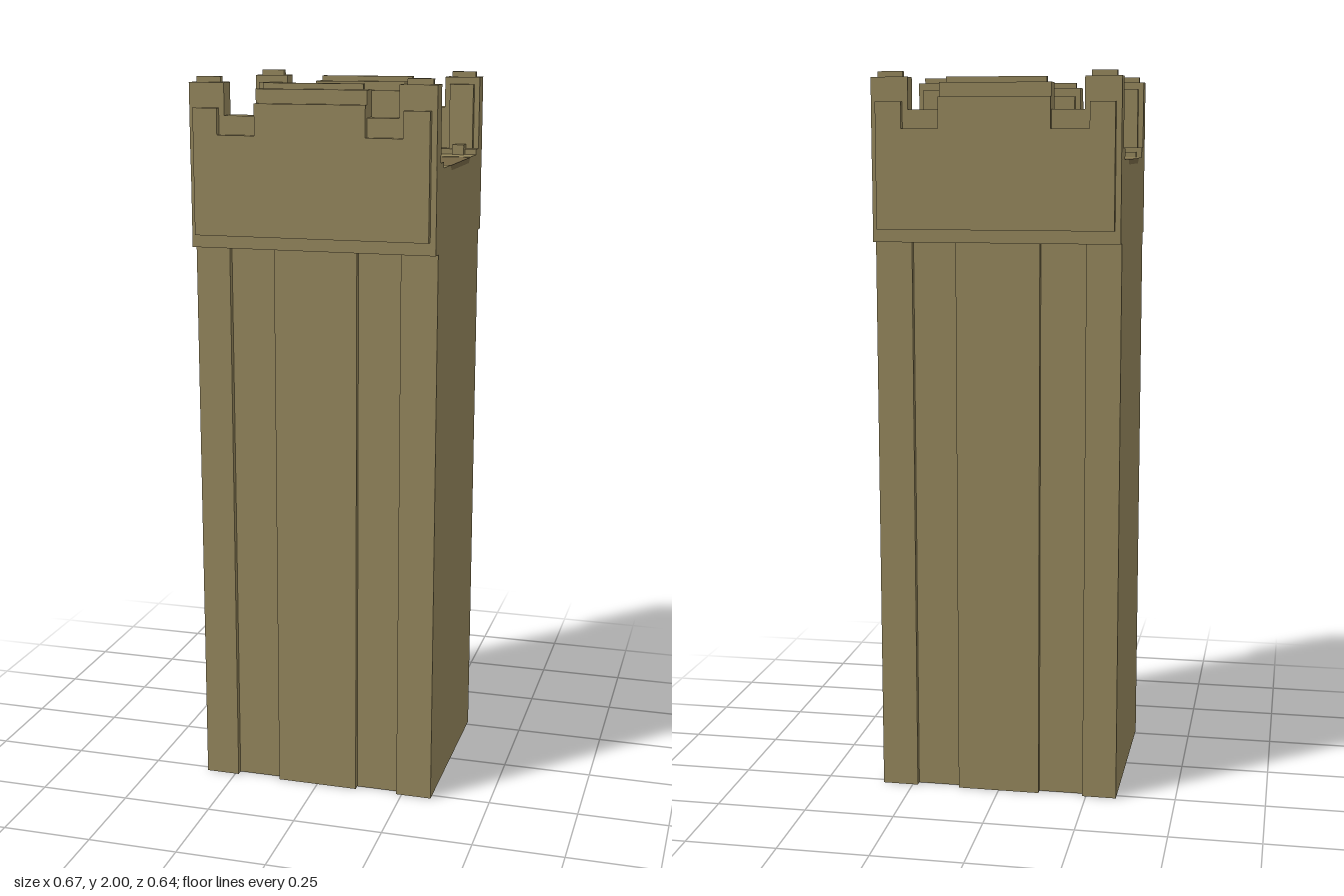
import * as THREE from 'three';

export function createModel() {
  const model = new THREE.Group();
  const stone = new THREE.MeshStandardMaterial({ color: 0x94865c, flatShading: true });
  stone.name = 'sandstone';
  const dark = new THREE.MeshStandardMaterial({ color: 0x756645, flatShading: true });
  dark.name = 'dark walkway';
  const W = 0.335;

  const add = (name, geometry, material = stone) => {
    const mesh = new THREE.Mesh(geometry, material);
    mesh.name = name;
    model.add(mesh);
    return mesh;
  };
  // box from its minimum and maximum limits
  const box = (name, x0, x1, y0, y1, z0, z1, material) =>
    add(name, new THREE.BoxGeometry(x1 - x0, y1 - y0, z1 - z0), material)
      .position.set((x0 + x1) / 2, (y0 + y1) / 2, (z0 + z1) / 2);
  const extrude = (points, depth) => new THREE.ExtrudeGeometry(
    new THREE.Shape(points.map(([x, y]) => new THREE.Vector2(x, y))),
    { depth, bevelEnabled: false }).translate(0, 0, -depth / 2);

  // shaft footprint with two shallow channels on front and back
  const half = [[-W, 0.27], [-0.24, 0.27], [-0.24, 0.252], [-0.115, 0.252], [-0.115, 0.27],
    [0.115, 0.27], [0.115, 0.252], [0.235, 0.252], [0.235, 0.27], [W, 0.27]];
  const footprint = [...half, ...half.map(([x, z]) => [x, -z]).reverse()];
  add('shaft', extrude(footprint, 1.55).rotateX(-Math.PI / 2)).position.y = 0.775;

  // head block, with a shallow trough for the walkway
  const head = [[-0.3, 1.55], [0.3, 1.55], [0.3, 1.77], [0.135, 1.77], [0.115, 1.755],
    [-0.115, 1.755], [-0.135, 1.77], [-0.3, 1.77]];
  add('head', extrude(head, 2 * W).rotateY(Math.PI / 2));
  const walkway = [[-0.115, 1.755], [0.115, 1.755], [0.135, 1.769], [-0.135, 1.769]];
  add('walkway', extrude(walkway, 2 * W).rotateY(Math.PI / 2), dark);

  // crenellated outlines of the parapet and its raised outer panel
  const parapet = [[-W, 1.77], [W, 1.77], [W, 1.985], [0.235, 1.985], [0.235, 1.9], [0.15, 1.9],
    [0.15, 1.97], [-0.15, 1.97], [-0.15, 1.9], [-0.238, 1.9], [-0.238, 1.985], [-W, 1.985]];
  const panel = [[-0.32, 1.585], [0.32, 1.585], [0.32, 1.92], [0.25, 1.92], [0.25, 1.85],
    [0.15, 1.85], [0.15, 1.933], [-0.15, 1.933], [-0.15, 1.85], [-0.253, 1.85],
    [-0.253, 1.92], [-0.32, 1.92]];

  for (const s of [1, -1]) {
    const side = s > 0 ? 'front' : 'back';
    const part = (name, x0, x1, y0, y1, z0, z1) =>
      box(side + name, x0, x1, y0, y1, Math.min(s * z0, s * z1), Math.max(s * z0, s * z1));

    add(side + 'Parapet', extrude(parapet, 0.05)).position.z = s * 0.277;
    add(side + 'OuterPanel', extrude(panel, 0.018)).position.z = s * 0.311;

    // caps and inner panels of the three merlons
    for (const [x0, x1, base, cap, inner] of [
      [-0.32, -0.253, 1.985, 2, 1.965], [-0.135, 0.135, 1.97, 1.985, 1.945], [0.252, 0.32, 1.985, 2, 1.965]]) {
      part('MerlonCap', x0, x1, base, cap, 0.268, 0.284);
      part('InnerPanel', x0, x1, 1.77, inner, 0.236, 0.253);
    }

    // ledge at the foot of the parapet and its small blocks
    part('Ledge', -W, W, 1.765, 1.785, 0.218, 0.253);
    part('LedgeStep', -W, 0.1, 1.785, 1.798, 0.2185, 0.253);
    part('CentreBlock', -0.05, 0.05, 1.765, 1.785, 0.202, 0.22);
    part('LeftBlock', 0.268, 0.302, 1.765, 1.798, 0.202, 0.236);
    part('RightBlock', -0.32, -0.288, 1.765, 1.786, 0.202, 0.236);
  }
  return model;
}
